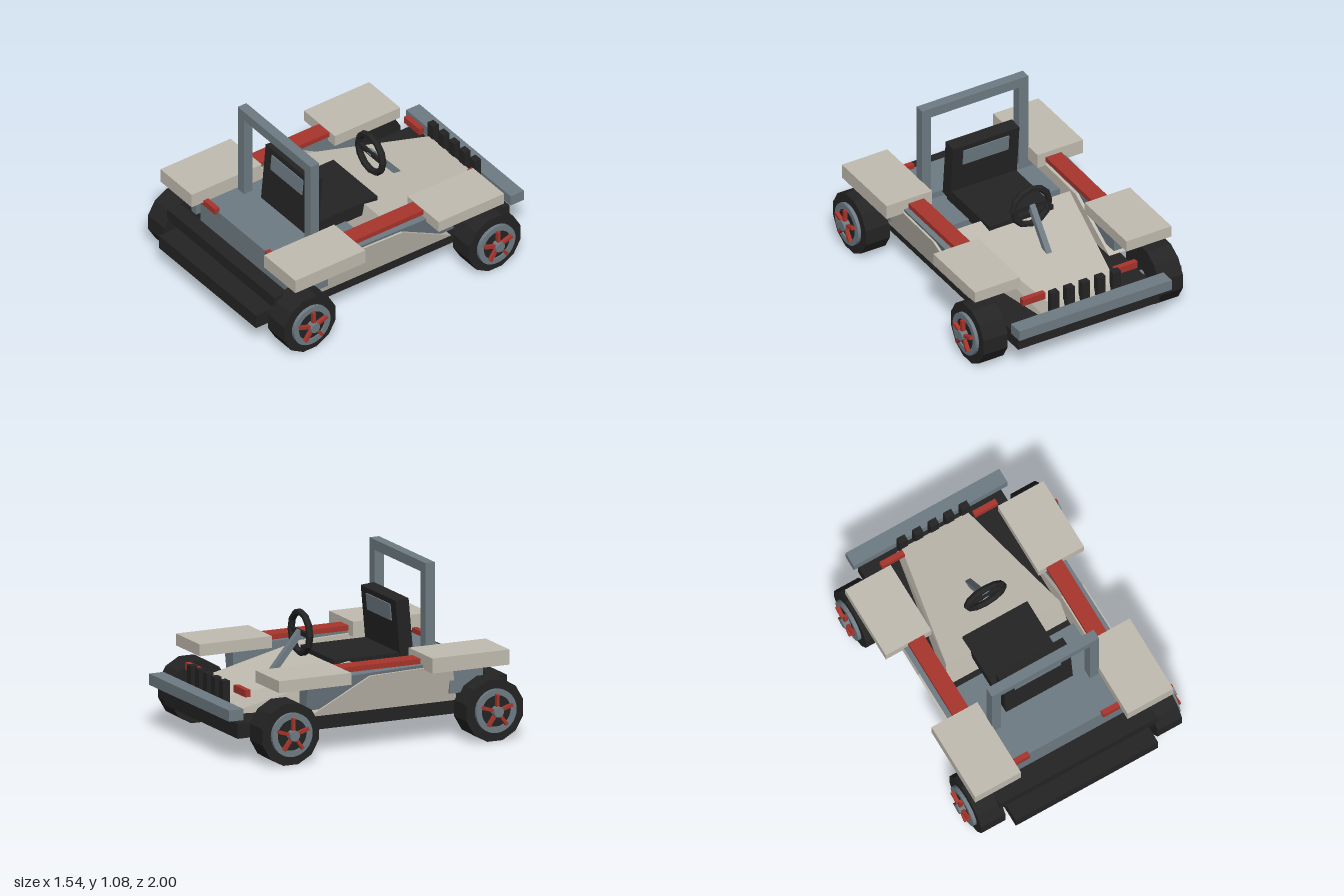
import * as THREE from 'three';
import { ConvexGeometry } from 'three/addons/geometries/ConvexGeometry.js';

const mat = (name, color) => {
  const m = new THREE.MeshStandardMaterial({ color, flatShading: true });
  m.name = name;
  return m;
};

export function createModel() {
  const cream = mat('cream', 0xc2bdb1);
  const slate = mat('slate', 0x6f7c84);
  const black = mat('black', 0x242424);
  const red = mat('red', 0xa8352c);
  const model = new THREE.Group();
  model.name = 'buggy';

  const add = (name, geometry, material, parent = model) => {
    const mesh = new THREE.Mesh(geometry, material);
    mesh.name = name;
    parent.add(mesh);
    return mesh;
  };
  // box given by its extents
  const box = (name, material, x0, x1, y0, y1, z0, z1, parent = model) => {
    const mesh = add(name, new THREE.BoxGeometry(x1 - x0, y1 - y0, z1 - z0), material, parent);
    mesh.position.set((x0 + x1) / 2, (y0 + y1) / 2, (z0 + z1) / 2);
    return mesh;
  };
  const pair = (name, material, x0, x1, ...yz) => {
    box(name + 'Left', material, x0, x1, ...yz);
    box(name + 'Right', material, -x1, -x0, ...yz);
  };
  const hull = (name, material, points) =>
    add(name, new ConvexGeometry(points.map((p) => new THREE.Vector3(...p))), material);

  // chassis and bumpers
  box('chassis', black, -0.505, 0.505, 0.155, 0.25, -0.92, 1);
  box('slateBumper', slate, -0.545, 0.545, 0.28, 0.35, -1, -0.9);
  box('blackBumper', black, -0.56, 0.56, 0.295, 0.375, 0.8, 0.9);

  // tapered bonnet
  const bonnet = [];
  for (const s of [-1, 1]) {
    bonnet.push([s * 0.255, 0.25, -0.88], [s * 0.425, 0.25, 0.03],
      [s * 0.235, 0.36, -0.85], [s * 0.405, 0.49, -0.02]);
  }
  hull('bonnet', cream, bonnet);
  for (let i = -2; i <= 2; i++) {
    box('grilleSlat', black, i * 0.11 - 0.028, i * 0.11 + 0.028, 0.3, 0.46, -0.89, -0.845);
  }

  // seat platform and deck
  box('platform', slate, -0.42, 0.42, 0.25, 0.42, 0.12, 0.5);
  box('deck', slate, -0.445, 0.445, 0.27, 0.46, 0.43, 0.73);

  // flared side panels with inner sills
  const flare = (y) => 0.545 + (y - 0.25) * 0.19;
  const slab = (name, material, s, inner, inset, profile) => {
    const points = [];
    for (const [z, y] of profile) points.push([s * inner, y, z], [s * (flare(y) - inset), y, z]);
    hull(name, material, points);
  };
  for (const s of [-1, 1]) {
    const side = s > 0 ? 'Left' : 'Right';
    slab('sidePanel' + side, cream, s, 0.43, 0,
      [[0.56, 0.25], [0.51, 0.49], [-0.05, 0.475], [-0.45, 0.25]]);
    slab('sill' + side, slate, s, 0.45, 0.015,
      [[0.33, 0.29], [0.33, 0.503], [-0.47, 0.48], [-0.47, 0.29]]);
  }
  pair('fenderBracket', slate, 0.49, 0.57, 0.3, 0.476, 0.5, 0.73);

  // fenders, rails and lights
  pair('fender', cream, 0.378, 0.703, 0.475, 0.57, 0.315, 0.845);
  pair('noseFender', cream, 0.38, 0.703, 0.465, 0.54, -0.735, -0.24);
  pair('rail', red, 0.435, 0.545, 0.503, 0.535, -0.26, 0.33);
  pair('tailLight', red, 0.26, 0.41, 0.45, 0.49, 0.72, 0.755);
  pair('noseLight', red, 0.25, 0.41, 0.385, 0.43, -0.82, -0.785);

  // roll bar
  pair('rollBarPost', slate, 0.315, 0.38, 0.44, 1.05, 0.43, 0.495);
  box('rollBarTop', slate, -0.38, 0.38, 1.025, 1.09, 0.43, 0.495);

  // seat
  box('seatCushion', black, -0.23, 0.23, 0.41, 0.505, -0.12, 0.38);
  const back = new THREE.Group();
  back.name = 'seatBack';
  back.position.set(0, 0.645, 0.36);
  back.rotation.x = -0.09;
  model.add(back);
  box('backrest', black, -0.237, 0.237, -0.2, 0.195, -0.045, 0.045, back);
  box('backrestPanel', slate, -0.163, 0.163, 0.055, 0.16, -0.052, 0.052, back);

  // steering wheel and column
  const rim = add('steeringWheel', new THREE.TorusGeometry(0.128, 0.022, 6, 12), black);
  rim.position.set(0, 0.645, -0.235);
  box('steeringSpoke', black, -0.125, 0.125, 0.63, 0.66, -0.245, -0.225);
  const from = new THREE.Vector3(0, 0.37, -0.47), to = new THREE.Vector3(0, 0.655, -0.235);
  const column = add('steeringColumn', new THREE.BoxGeometry(0.038, from.distanceTo(to), 0.038), slate);
  column.position.copy(from).add(to).multiplyScalar(0.5);
  column.rotation.x = Math.atan2(to.z - from.z, to.y - from.y);

  // wheels, each built along its own axis and turned outward
  const ringShape = new THREE.Shape().absarc(0, 0, 0.138, 0, Math.PI * 2);
  ringShape.holes.push(new THREE.Path().absarc(0, 0, 0.1, 0, Math.PI * 2, true));
  const ring = new THREE.ExtrudeGeometry(ringShape, { depth: 0.025, bevelEnabled: false, curveSegments: 16 });
  const disc = (r, h, n) => new THREE.CylinderGeometry(r, r, h, n).rotateX(Math.PI / 2);
  for (const z of [0.74, -0.66]) {
    const axle = add('axle', new THREE.CylinderGeometry(0.026, 0.026, 1.1, 8).rotateZ(Math.PI / 2), slate);
    axle.position.set(0, 0.205, z);
    for (const s of [-1, 1]) {
      const wheel = new THREE.Group();
      wheel.name = 'wheel' + (s > 0 ? 'Left' : 'Right');
      wheel.position.set(s * 0.54, 0.2, z);
      wheel.rotation.y = s * Math.PI / 2;
      model.add(wheel);
      add('tyre', disc(0.2, 0.172, 12).rotateZ(Math.PI / 12), black, wheel).position.z = 0.086;
      add('rimRing', ring, slate, wheel).position.z = 0.17;
      add('rimDisc', disc(0.102, 0.02, 16), black, wheel).position.z = 0.175;
      for (let i = 0; i < 5; i++) {
        const spoke = new THREE.BoxGeometry(0.02, 0.09, 0.025).translate(0, 0.063, 0);
        const mesh = add('spoke', spoke, red, wheel);
        mesh.position.z = 0.205;
        mesh.rotation.z = i * Math.PI * 2 / 5;
      }
      add('hub', disc(0.034, 0.05, 10), slate, wheel).position.z = 0.205;
    }
  }
  return model;
}
